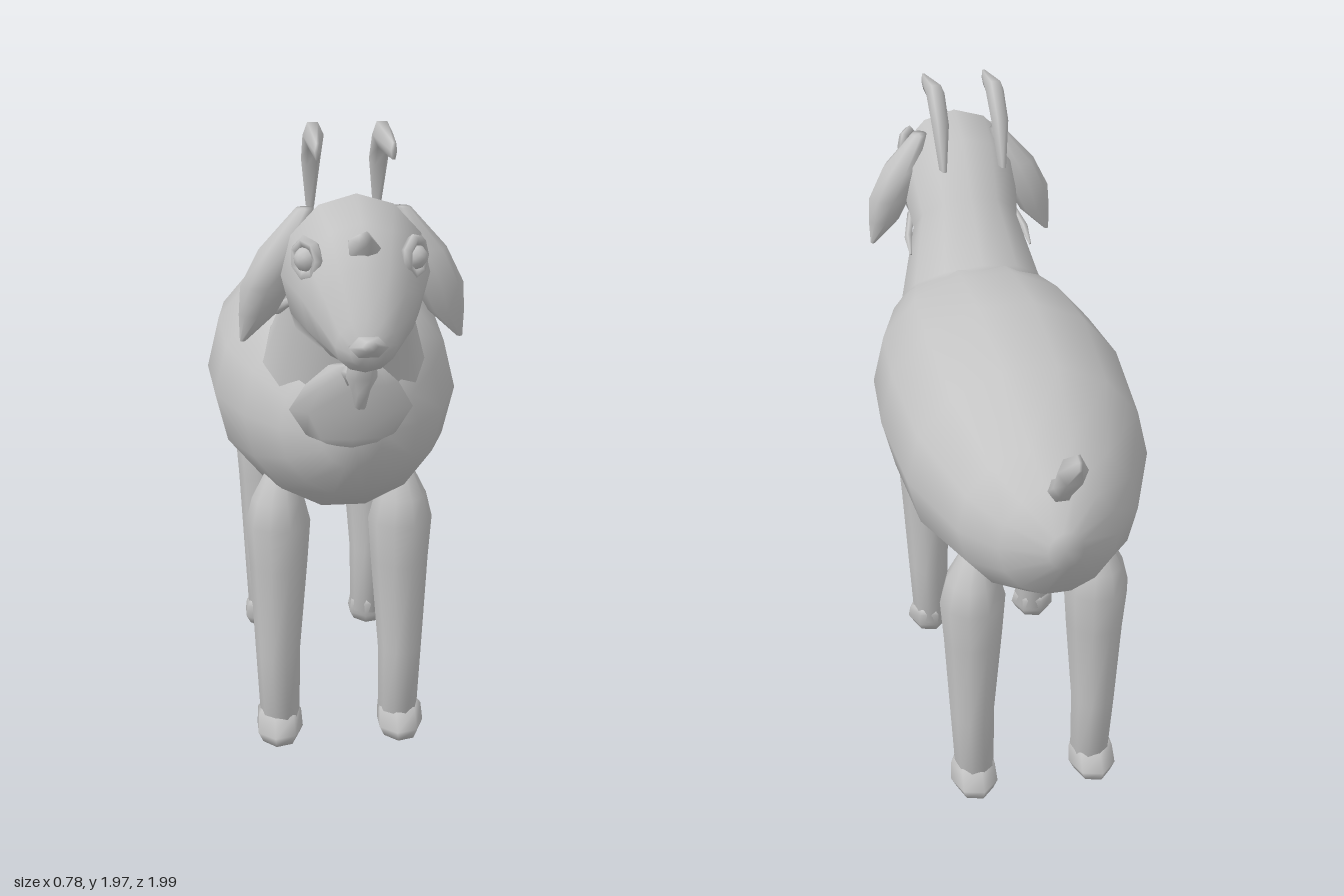
import * as THREE from 'three';

const coat = new THREE.MeshStandardMaterial({ color: 0xc4c4c4 });
coat.name = 'plain grey';

// Skin over elliptical rings [x, y, z, halfWidth, halfHeight, tilt in degrees].
// Tilt 0 rings face +z, 90 face +y, -90 face -y; rings follow that direction.
function loft(rings, segs = 12) {
  const pos = [], idx = [];
  for (const [x, y, z, a, b, tilt = 0] of rings) {
    const t = THREE.MathUtils.degToRad(tilt);
    for (let i = 0; i < segs; i++) {
      const q = (i / segs) * Math.PI * 2;
      const v = b * Math.sin(q);
      pos.push(x + a * Math.cos(q), y + v * Math.cos(t), z - v * Math.sin(t));
    }
  }
  const last = (rings.length - 1) * segs;
  for (let r = 0; r < last; r += segs) {
    for (let i = 0; i < segs; i++) {
      const j = (i + 1) % segs;
      idx.push(r + i, r + j, r + segs + j, r + i, r + segs + j, r + segs + i);
    }
  }
  // end caps
  const c0 = pos.length / 3;
  pos.push(...rings[0].slice(0, 3), ...rings[rings.length - 1].slice(0, 3));
  for (let i = 0; i < segs; i++) {
    const j = (i + 1) % segs;
    idx.push(c0, j, i, c0 + 1, last + i, last + j);
  }
  const g = new THREE.BufferGeometry();
  g.setAttribute('position', new THREE.Float32BufferAttribute(pos, 3));
  g.setIndex(idx);
  g.computeVertexNormals();
  return g;
}

export function createModel() {
  const goat = new THREE.Group();
  goat.name = 'goat';
  const add = (name, geometry, parent = goat) => {
    const m = new THREE.Mesh(geometry, coat);
    m.name = name;
    parent.add(m);
    return m;
  };
  const shifted = (rings, x, z = 0) => rings.map((r) => [r[0] + x, r[1], r[2] + z, ...r.slice(3)]);

  // barrel-shaped trunk, from rump to chest
  add('body', loft([
    [0, 1.13, -0.885, 0.05, 0.06], [0, 1.11, -0.81, 0.17, 0.18],
    [0, 1.10, -0.69, 0.26, 0.25], [0, 1.12, -0.45, 0.36, 0.335],
    [0, 1.132, -0.13, 0.388, 0.367], [0, 1.122, 0.15, 0.372, 0.347],
    [0, 1.125, 0.38, 0.295, 0.3], [0, 1.13, 0.53, 0.2, 0.21],
    [0, 1.13, 0.6, 0.09, 0.1],
  ], 14));

  // neck flowing into skull and muzzle
  add('neckAndHead', loft([
    [0, 1.22, 0.3, 0.27, 0.28, 50], [0, 1.29, 0.39, 0.235, 0.245, 46],
    [0, 1.49, 0.49, 0.175, 0.165, 38], [0, 1.58, 0.57, 0.19, 0.197, 15],
    [0, 1.605, 0.67, 0.2, 0.213], [0, 1.575, 0.785, 0.16, 0.187],
    [0, 1.53, 0.85, 0.125, 0.135, -8], [0, 1.47, 0.91, 0.08, 0.075, -12],
    [0, 1.46, 0.945, 0.045, 0.04, -12],
  ], 12));

  // nose tip and forehead tuft
  add('nose', loft([
    [0, 1.475, 0.92, 0.05, 0.03], [0, 1.48, 0.96, 0.05, 0.03], [0, 1.49, 0.99, 0.02, 0.014],
  ], 6));
  add('foreheadTuft', loft([
    [0, 1.69, 0.79, 0.045, 0.045], [0, 1.705, 0.835, 0.045, 0.042], [0, 1.735, 0.86, 0.018, 0.02],
  ], 5));

  // beard hanging under the jaw
  add('beard', loft([
    [0, 1.43, 0.83, 0.035, 0.04, -90], [0, 1.36, 0.815, 0.042, 0.035, -90],
    [0, 1.32, 0.8, 0.025, 0.04, -90], [0, 1.27, 0.79, 0.015, 0.025, -90],
  ], 6));

  // bib of hair on the chest, with a small knob on top
  add('chestTuft', loft([
    [0, 1.34, 0.625, 0.07, 0.025, -90], [0, 1.28, 0.6, 0.13, 0.05, -90],
    [0, 1.2, 0.575, 0.175, 0.062, -90], [0, 1.12, 0.575, 0.125, 0.045, -90],
    [0, 1.09, 0.58, 0.08, 0.02, -90],
  ], 8));
  add('chestKnob', loft([
    [0, 1.3, 0.61, 0.04, 0.04, 35], [0, 1.33, 0.655, 0.035, 0.032, 35],
    [0, 1.335, 0.685, 0.018, 0.016, 35],
  ], 6));

  // upright tail
  add('tail', loft([
    [0, 1.25, -0.78, 0.045, 0.04, 140], [0, 1.31, -0.845, 0.03, 0.03, 140],
    [0, 1.41, -0.925, 0.042, 0.04, 140], [0, 1.475, -0.985, 0.008, 0.024, 140],
  ], 6));

  for (const s of [1, -1]) {
    const side = s > 0 ? 'left' : 'right';

    // bent horn above the head
    add(side + 'Horn', loft([
      [s * 0.095, 1.735, 0.36, 0.012, 0.04, 85], [s * 0.095, 1.87, 0.39, 0.027, 0.038, 60],
      [s * 0.095, 1.945, 0.47, 0.029, 0.043, 28], [s * 0.1, 1.925, 0.66, 0.008, 0.027, -15],
    ], 6));

    // drooping ear
    add(side + 'Ear', loft([
      [s * 0.13, 1.77, 0.6, 0.025, 0.03, -90], [s * 0.19, 1.66, 0.6, 0.065, 0.07, -90],
      [s * 0.235, 1.56, 0.595, 0.07, 0.06, -90], [s * 0.26, 1.48, 0.59, 0.05, 0.035, -90],
      [s * 0.3, 1.405, 0.585, 0.008, 0.008, -90],
    ], 8));

    // thin lock of hair behind the ear
    add(side + 'NeckLock', loft([
      [s * 0.2, 1.435, 0.4, 0.004, 0.004, 25], [s * 0.195, 1.465, 0.47, 0.014, 0.016, 25],
      [s * 0.17, 1.51, 0.57, 0.012, 0.012, 25],
    ], 5));

    // eye with a raised lid ring
    const eye = new THREE.Group();
    eye.name = side + 'Eye';
    eye.position.set(s * 0.14, 1.67, 0.78);
    eye.rotation.y = s * 0.85;
    add('eyeball', new THREE.IcosahedronGeometry(0.034, 1), eye);
    add('eyelid', new THREE.TorusGeometry(0.042, 0.015, 5, 7), eye).scale.set(0.95, 1.1, 1.1);
    goat.add(eye);

    // tapering legs; front hooves point forward, back hooves backward
    for (const [end, z, dir] of [['Front', 0.265, 1], ['Back', -0.545, -1]]) {
      const x = s * 0.19;
      add(side + end + 'Leg', loft(shifted([
        [0, 0.05, 0, 0.062, 0.065, 90], [s * 0.005, 0.3, 0, 0.07, 0.078, 90],
        [0, 0.6, 0, 0.09, 0.09, 90], [0, 0.74, 0, 0.1, 0.1, 90],
        [0, 0.82, 0, 0.08, 0.085, 90], [-s * 0.01, 0.92, 0, 0.04, 0.04, 90],
      ], x, z), 10));
      add(side + end + 'Hoof', loft(shifted([
        [s * 0.005, 0.005, dir * 0.025, 0.06, 0.075, 90], [s * 0.005, 0.035, dir * 0.02, 0.076, 0.085, 90],
        [s * 0.005, 0.085, 0, 0.072, 0.07, 90], [s * 0.005, 0.105, -dir * 0.01, 0.055, 0.055, 90],
      ], x, z), 7));
    }
  }
  return goat;
}
